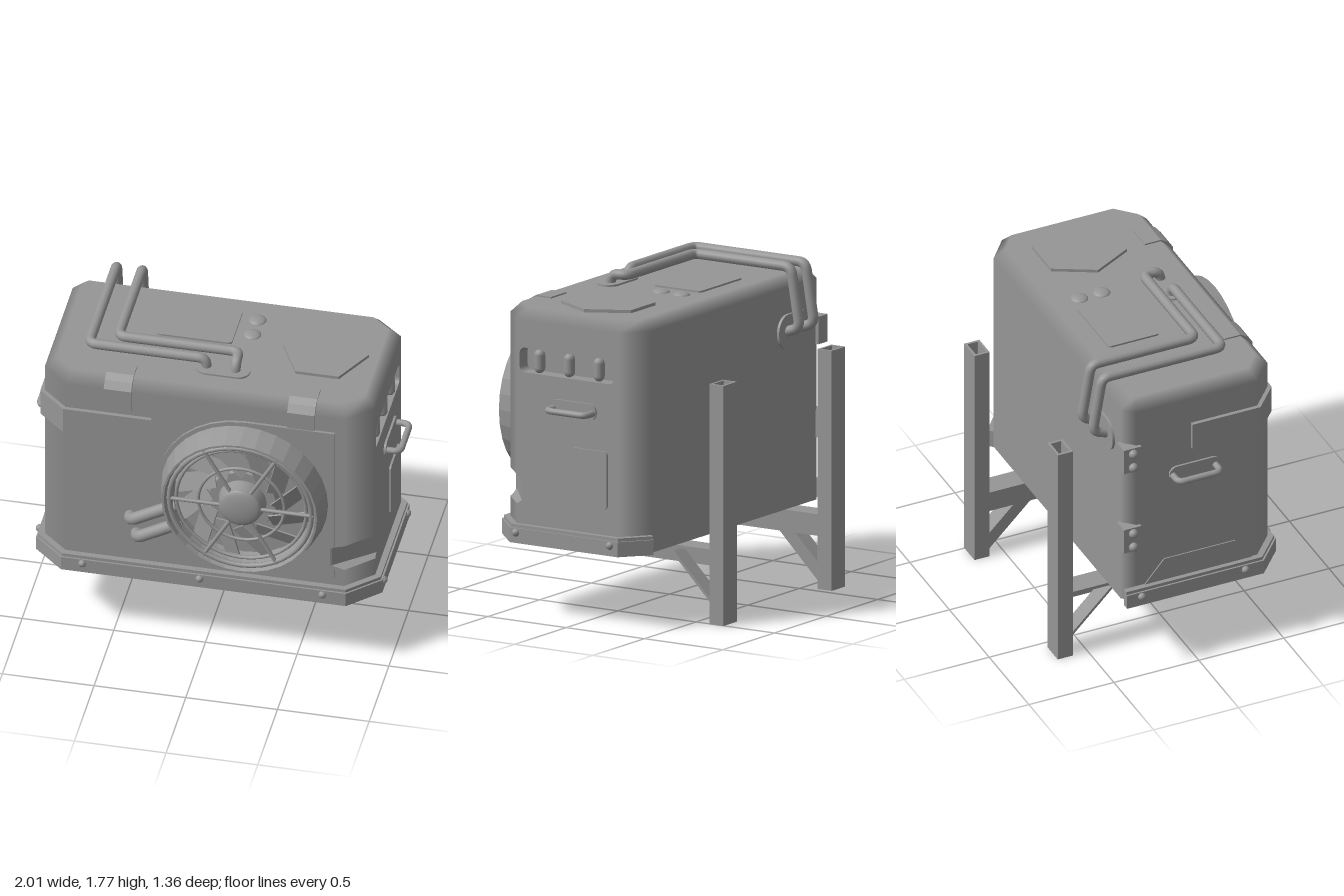
import * as THREE from 'three';

const V2 = (x, y) => new THREE.Vector2(x, y);
const V3 = (a) => new THREE.Vector3(...a);
const mat = new THREE.MeshStandardMaterial({ color: 0x969696 });
const matDouble = new THREE.MeshStandardMaterial({ color: 0x969696, side: THREE.DoubleSide });

// Plan outline of the cabinet as [x, z], from the back corner round the front
const PLAN = [[-0.84, -0.385], [-0.9, -0.32], [-0.9, 0.39], [-0.76, 0.515],
  [0.76, 0.515], [0.9, 0.38], [0.9, -0.27], [0.76, -0.385]];
// The same outline with the front corner cut deeper
const NOTCHED = PLAN.map((p, i) => (i === 4 ? [0.69, 0.515] : i === 5 ? [0.9, 0.35] : p));
// Direction of the flat wall each outline point belongs to
const FACING = [[0, 0, -1], [-1, 0, 0], [-1, 0, 0], [0, 0, 1], [0, 0, 1], [1, 0, 0], [1, 0, 0], [0, 0, -1]];

// Shift a plan path outwards with mitred corners
function offset(pts, d, closed = false) {
  const n = pts.length;
  const normal = (a, b) => V2(a[1] - b[1], b[0] - a[0]).normalize();
  return pts.map((p, i) => {
    const prev = closed || i > 0 ? pts[(i + n - 1) % n] : null;
    const next = closed || i < n - 1 ? pts[(i + 1) % n] : null;
    const n1 = prev ? normal(prev, p) : normal(p, next);
    const n2 = next ? normal(p, next) : n1;
    const k = d / (1 + n1.dot(n2));
    return [p[0] + (n1.x + n2.x) * k, p[1] + (n1.y + n2.y) * k];
  });
}

const poly = (pts) => new THREE.Shape(pts.map(([x, y]) => V2(x, y)));

function roundRect(x0, y0, x1, y1, r, Type = THREE.Shape) {
  const s = new Type();
  s.absarc(x1 - r, y1 - r, r, 0, Math.PI / 2);
  s.absarc(x0 + r, y1 - r, r, Math.PI / 2, Math.PI);
  s.absarc(x0 + r, y0 + r, r, Math.PI, Math.PI * 1.5);
  s.absarc(x1 - r, y0 + r, r, Math.PI * 1.5, Math.PI * 2);
  s.closePath();
  return s;
}

const extrude = (shape, depth) =>
  new THREE.ExtrudeGeometry(shape, { depth, bevelEnabled: false, curveSegments: 8 });

// Cabinet shell: walls with soft corners, sloped shoulder, lid and floor
function shellGeometry() {
  const rings = [[PLAN, 0.41], [PLAN, 0.615], [NOTCHED, 0.635], [NOTCHED, 0.752], [PLAN, 0.772],
    [PLAN, 1.62], [offset(PLAN, -0.06, true), 1.68]].map(([pts, y]) => pts.map(([x, z]) => [x, y, z]));
  const verts = [], normals = [], n = PLAN.length, last = rings.length - 1;
  const up = [0, 1, 0], down = [0, -1, 0];
  const tri = (a, b, c, na, nb, nc) => {
    verts.push(...a, ...b, ...c);
    normals.push(...na, ...nb, ...nc);
  };
  for (let r = 0; r < last; r++) for (let i = 0; i < n; i++) {
    if (r < last - 1 && i === 5) continue; // this wall is cut for the vent
    const j = (i + 1) % n;
    const [a, b, c, d] = [rings[r][i], rings[r][j], rings[r + 1][j], rings[r + 1][i]];
    let [na, nb, nc, nd] = [FACING[i], FACING[j], FACING[j], FACING[i]];
    if (r === last - 1) nc = nd = up;
    if (i === 4 && r > 0 && r < 4) {
      const flat = V3(b).sub(V3(a)).cross(V3(d).sub(V3(a))).normalize().toArray();
      na = nb = nc = nd = flat;
    }
    tri(a, b, c, na, nb, nc);
    tri(a, c, d, na, nc, nd);
  }
  for (let i = 1; i < n - 1; i++) {
    tri(rings[last][0], rings[last][i], rings[last][i + 1], up, up, up);
    tri(rings[0][0], rings[0][i + 1], rings[0][i], down, down, down);
  }
  const geo = new THREE.BufferGeometry();
  geo.setAttribute('position', new THREE.Float32BufferAttribute(verts, 3));
  geo.setAttribute('normal', new THREE.Float32BufferAttribute(normals, 3));
  return geo;
}

export function createModel() {
  const root = new THREE.Group();
  const add = (name, geo, pos = [0, 0, 0], parent = root, m = mat) => {
    const mesh = new THREE.Mesh(geo, m);
    mesh.name = name;
    mesh.position.set(...pos);
    parent.add(mesh);
    return mesh;
  };
  const box = (name, x0, x1, y0, y1, z0, z1) =>
    add(name, new THREE.BoxGeometry(x1 - x0, y1 - y0, z1 - z0), [(x0 + x1) / 2, (y0 + y1) / 2, (z0 + z1) / 2]);
  // Shape drawn as (x, -z), raised from y0 to y1
  const slab = (name, shape, y0, y1) => add(name, extrude(shape, y1 - y0).rotateX(-Math.PI / 2), [0, y0, 0]);
  // Shape drawn facing a wall turned by angle, lying at a distance from the centre
  const onWall = (name, shape, angle, at, depth) =>
    add(name, extrude(shape, depth).translate(0, 0, at).rotateY(angle));
  const RIGHT = Math.PI / 2, LEFT = -Math.PI / 2, BACK = Math.PI;
  // Strip following a plan path
  const band = (name, path, y0, y1, t) =>
    slab(name, poly([...path, ...offset(path, t).reverse()].map(([x, z]) => [x, -z])), y0, y1);
  const bolt = (name, pos, r = 0.022) => add(name, new THREE.SphereGeometry(r, 12, 8), pos);
  // Pipe with rounded bends
  const pipe = (name, pts, radius, bend, segments = 80) => {
    const p = pts.map(V3), path = new THREE.CurvePath();
    let from = p[0];
    for (let i = 1; i < p.length - 1; i++) {
      const a = p[i].clone().add(p[i - 1].clone().sub(p[i]).setLength(bend));
      const b = p[i].clone().add(p[i + 1].clone().sub(p[i]).setLength(bend));
      path.add(new THREE.LineCurve3(from, a));
      path.add(new THREE.QuadraticBezierCurve3(a, p[i], b));
      from = b;
    }
    path.add(new THREE.LineCurve3(from, p[p.length - 1]));
    return add(name, new THREE.TubeGeometry(path, segments, radius, 12), [0, 0, 0], root, matDouble);
  };

  add('cabinet', shellGeometry());

  // Vent wall with its recess and three bars
  const vent = [-0.365, 1.335, 0.24, 1.47, 0.035];
  const wall = poly([[-0.38, 0.41], [0.27, 0.41], [0.27, 1.62], [-0.38, 1.62],
    [-0.38, 0.772], [-0.35, 0.752], [-0.35, 0.635], [-0.38, 0.615]]);
  wall.holes.push(roundRect(...vent, THREE.Path));
  add('ventWall', new THREE.ShapeGeometry(wall).translate(0, 0, 0.9).rotateY(RIGHT));
  const lining = roundRect(-0.37, 1.33, 0.245, 1.475, 0.04);
  lining.holes.push(roundRect(...vent, THREE.Path));
  onWall('ventLining', lining, RIGHT, 0.82, 0.079);
  onWall('ventBack', roundRect(...vent), RIGHT, 0.81, 0.01);
  for (const z of [0.255, 0.065, -0.125])
    add('ventBar', new THREE.CapsuleGeometry(0.03, 0.07, 4, 12), [0.87, 1.4, z]);

  // Skirt round the foot, open at the back
  const skirtPath = [[-0.9, -0.395], ...PLAN.slice(2)];
  band('skirt', skirtPath, 0.408, 0.49, 0.043);
  band('skirtLip', skirtPath, 0.49, 0.508, 0.033);
  for (const x of [-0.66, -0.02, 0.65]) bolt('skirtBolt', [x, 0.465, 0.556]);
  for (const z of [0.3, -0.31]) bolt('skirtBolt', [-0.946, 0.465, z]);
  for (const z of [0.36, -0.24]) bolt('skirtBolt', [0.941, 0.465, z]);

  // Lid fittings
  const hexagon = (r) => poly([0, 1, 2, 3, 4, 5].map((i) =>
    [0.555 + r * Math.cos(i * Math.PI / 3), -0.025 + r * 1.1 * Math.sin(i * Math.PI / 3)]));
  slab('hexCover', hexagon(0.235), 1.675, 1.697);
  slab('lidPanel', roundRect(-0.36, -0.07, 0.05, 0.23, 0.02), 1.675, 1.69);
  for (const z of [-0.17, -0.04])
    add('lidButton', new THREE.SphereGeometry(0.048, 20, 8, 0, Math.PI * 2, 0, Math.PI / 2).scale(1, 0.4, 1), [0.14, 1.678, z]);
  const clip = poly([[-0.36, 1.66], [-0.36, 1.688], [-0.455, 1.688], [-0.495, 1.665], [-0.525, 1.625],
    [-0.525, 1.5], [-0.5, 1.5], [-0.5, 1.61], [-0.44, 1.66]]);
  for (const x of [-0.55, 0.45]) onWall('lidClip', clip, RIGHT, x, 0.15);

  // Twin pipes over the lid and down the back
  const pipeEnd = (x) => [[x, 1.738, -0.42], [x, 1.41, -0.475], [x, 1.375, -0.37]];
  pipe('outerPipe', [[-0.04, 1.66, 0.29], [-0.04, 1.738, 0.29], [-0.68, 1.738, 0.29], ...pipeEnd(-0.68)], 0.028, 0.045, 120);
  pipe('innerPipe', [[0.12, 1.66, 0.3], [0.12, 1.738, 0.29], [0.12, 1.738, 0.195], [-0.54, 1.738, 0.195], ...pipeEnd(-0.54)], 0.028, 0.045, 120);
  slab('lidFlange', roundRect(-0.095, -0.36, 0.2, -0.235, 0.062), 1.675, 1.69);
  onWall('backFlange', roundRect(0.455, 1.285, 0.77, 1.475, 0.094), BACK, 0.38, 0.02);

  // Side handles and pads
  for (const s of [1, -1]) {
    onWall('handlePad', roundRect(-0.15 - s * 0.02, 1.122, 0.15 - s * 0.02, 1.215, 0.045), s * RIGHT, 0.89, 0.022);
    pipe('sideHandle', [[s * 0.89, 1.165, -0.11], [s * 0.985, 1.165, -0.11], [s * 0.985, 1.165, 0.14], [s * 0.89, 1.165, 0.14]], 0.018, 0.04, 40);
  }
  onWall('sidePanel', roundRect(-0.03, 0.65, 0.2, 0.965, 0.02), RIGHT, 0.89, 0.021);
  onWall('sideRib', poly([[-0.28, 0.5], [0.36, 0.5], [0.26, 0.64], [-0.16, 0.64]]), LEFT, 0.89, 0.017);

  // Name plate wrapping the front corner
  band('platePlainSide', [[-0.9, 0], [-0.9, 0.39], [-0.76, 0.515], [-0.74, 0.515]], 1.31, 1.465, 0.022);
  onWall('platePlainFront', poly([[-0.75, 1.31], [-0.39, 1.31], [-0.29, 1.465], [-0.75, 1.465]]), 0, 0.51, 0.027);

  // Hinges on the back corner
  for (const y of [0.825, 1.335]) {
    box('hinge', -0.92, -0.83, y - 0.075, y + 0.075, -0.403, -0.3);
    for (const d of [-0.043, 0.043]) bolt('hingeBolt', [-0.925, y + d, -0.35], 0.026);
  }

  // Fan backing panel: round on one side, square on the other, clear of the corner notch
  const fx = 0.22, fy = 1.045;
  const backing = new THREE.Shape();
  backing.absarc(fx, fy, 0.48, Math.PI / 2, Math.PI * 1.5);
  for (const [x, y] of [[0.71, fy - 0.48], [0.71, 0.615], [0.685, 0.635], [0.685, 0.752], [0.71, 0.772], [0.71, fy + 0.48]])
    backing.lineTo(x, y);
  onWall('fanPanel', backing, 0, 0.51, 0.02);

  // Fan: shroud, rotor, blades and guard
  const fan = new THREE.Group();
  fan.name = 'fan';
  fan.position.set(fx, fy, 0.53);
  root.add(fan);
  const profile = [[0.455, 0], [0.447, 0.04], [0.424, 0.135], [0.412, 0.135], [0.395, 0.085], [0.38, 0]];
  add('shroud', new THREE.LatheGeometry(profile.map(([r, y]) => V2(r, y)), 32).toNonIndexed().rotateX(RIGHT), [0, 0, 0], fan, matDouble)
    .geometry.computeVertexNormals();
  const disc = (name, r0, r1, h, z) =>
    add(name, new THREE.CylinderGeometry(r1, r0, h, 32).rotateX(RIGHT), [0, 0, z], fan);
  disc('rotor', 0.2, 0.18, 0.05, 0.025);
  disc('hubMount', 0.13, 0.115, 0.07, 0.085);
  add('hubCap', new THREE.SphereGeometry(0.115, 28, 8, 0, Math.PI * 2, 0, RIGHT).scale(1, 0.26, 1).rotateX(RIGHT), [0, 0, 0.118], fan);
  for (let i = 0; i < 12; i++) {
    const arm = new THREE.Group();
    arm.rotation.z = i * Math.PI / 6 + 0.2;
    fan.add(arm);
    const blade = add('blade', new THREE.BoxGeometry(0.22, 0.1, 0.008), [0.27, 0, 0.045], arm);
    blade.rotation.set(0.45, 0, 0.6, 'ZYX');
  }
  for (let i = 0; i < 6; i++) {
    const a = i * Math.PI / 3;
    add('guardSpoke', new THREE.CylinderGeometry(0.011, 0.011, 0.3, 8).rotateZ(RIGHT).translate(0.25, 0, 0).rotateZ(a), [0, 0, 0.112], fan);
  }
  for (const [r, t, z] of [[0.388, 0.014, 0.11], [0.355, 0.01, 0.085], [0.235, 0.009, 0.085]])
    add('guardRing', new THREE.TorusGeometry(r, t, 8, 40), [0, 0, z], fan);

  // Short pipes feeding the fan
  for (const [dx, dy] of [[0, 0], [0.035, -0.11]])
    pipe('fanPipe', [[-0.405 + dx, 0.797 + dy, 0.49], [-0.405 + dx, 0.797 + dy, 0.562], [-0.14 + dx, 0.945 + dy, 0.562]], 0.034, 0.05, 40);

  // Wall brackets: hollow post, angle arm and angle brace, flanges facing inwards
  for (const [cx, s] of [[-0.608, 1], [0.44, -1]]) {
    const post = roundRect(cx - 0.066, 0.588, cx + 0.066, 0.678, 0.002);
    post.holes.push(roundRect(cx - 0.052, 0.602, cx + 0.052, 0.664, 0.002, THREE.Path));
    slab('post', post, 0, 1.31);
    box('armPlate', cx - 0.066, cx + 0.066, 0.39, 0.408, -0.59, 0.13);
    const fl = cx + s * 0.058;
    box('armFlange', fl - 0.008, fl + 0.008, 0.29, 0.395, -0.59, 0.13);
    for (const z of [0.05, -0.24])
      add('armBolt', new THREE.CylinderGeometry(0.024, 0.02, 0.018, 12), [cx, 0.383, z]);
    for (const y of [1.1, 0.86, 0.61])
      add('postBolt', new THREE.CylinderGeometry(0.024, 0.024, 0.016, 12).rotateX(RIGHT), [cx, y, -0.581]);
    const bx = cx + s * 0.042;
    onWall('braceFlange', poly([[0.3, 0.32], [0.35, 0.37], [0.59, 0.13], [0.59, 0.03]]), RIGHT, bx - 0.007, 0.014);
    onWall('bracePlate', poly([[0.34, 0.36], [0.35, 0.37], [0.59, 0.13], [0.59, 0.11]]), RIGHT, cx - s * 0.005 - 0.044, 0.088);
    add('braceBolt', new THREE.SphereGeometry(0.026, 12, 8).scale(0.5, 1, 1), [bx - s * 0.007, 0.325, -0.34]);
  }
  return root;
}
